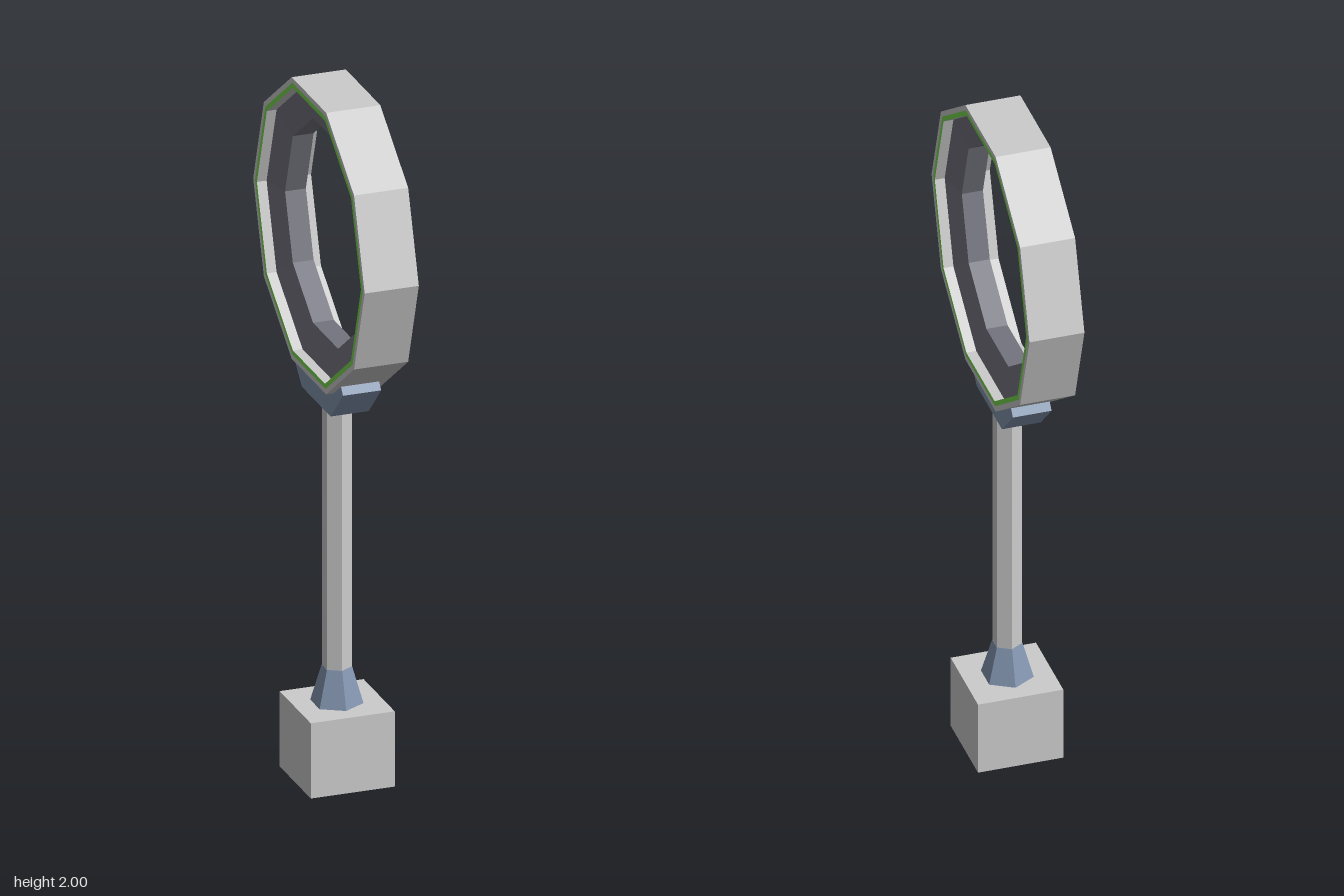
import * as THREE from 'three';

const material = (color) => new THREE.MeshStandardMaterial({ color, flatShading: true });
const grey = material(0xcccccc);
const slate = material(0x8396b0);
const darkSlate = material(0x74747f);
const green = material(0x77d84e);

function addPart(group, name, geometry, mat, x = 0, y = 0, z = 0) {
  const flat = geometry.index ? geometry.toNonIndexed() : geometry;
  flat.computeVertexNormals();
  const mesh = new THREE.Mesh(flat, mat);
  mesh.name = name;
  mesh.position.set(x, y, z);
  group.add(mesh);
  return mesh;
}

// Ten-sided band around the x axis; profile points are [radius, x]
function band(profile) {
  const points = profile.map(([r, h]) => new THREE.Vector2(r, h));
  return new THREE.LatheGeometry(points, 10).rotateZ(-Math.PI / 2);
}

export function createModel() {
  const model = new THREE.Group();
  model.name = 'ringOnPost';

  // Base block, collar and hexagonal post
  const baseZ = 0.012;
  addPart(model, 'baseBlock', new THREE.BoxGeometry(0.242, 0.22, 0.242), grey, -0.001, 0.11, baseZ);
  addPart(model, 'collar', new THREE.CylinderGeometry(0.042, 0.073, 0.105, 6), slate, -0.002, 0.2725, baseZ);
  addPart(model, 'post', new THREE.CylinderGeometry(0.041, 0.041, 0.9, 6), grey, -0.002, 0.66, baseZ);

  // Saddle cradling the bottom of the ring, outlined in z and y
  const outline = [
    [-0.112, 1.1], [0.112, 1.1], [0.208, 1.198], [0.192, 1.218],
    [0.134, 1.177], [-0.134, 1.177], [-0.192, 1.218], [-0.208, 1.198],
  ].map(([z, y]) => new THREE.Vector2(z, y));
  const saddle = new THREE.ExtrudeGeometry(new THREE.Shape(outline), { depth: 0.11, bevelEnabled: false });
  saddle.translate(0, 0, -0.055).rotateY(-Math.PI / 2);
  addPart(model, 'saddle', saddle, slate, -0.002);

  // Ring: outer shell, coloured trims, lips and sloped inner band
  const ring = new THREE.Group();
  ring.name = 'ring';
  ring.position.y = 1.588;
  model.add(ring);
  const w = 0.078;
  addPart(ring, 'outerShell', band([[0.418, -w], [0.433, -w], [0.433, w], [0.418, w]]), grey);
  addPart(ring, 'innerBand', band([[0.404, 0.05], [0.315, 0.03], [0.315, -0.03], [0.404, -0.05]]), darkSlate);
  const trim = band([[0.418, w], [0.404, w]]);
  const lip = band([[0.404, w], [0.404, 0.05]]);
  for (const side of [0, 1]) {
    const name = side ? 'right' : 'left';
    addPart(ring, name + 'Trim', trim.clone(), green).rotation.y = side * Math.PI;
    addPart(ring, name + 'Lip', lip.clone(), grey).rotation.y = side * Math.PI;
  }
  return model;
}
